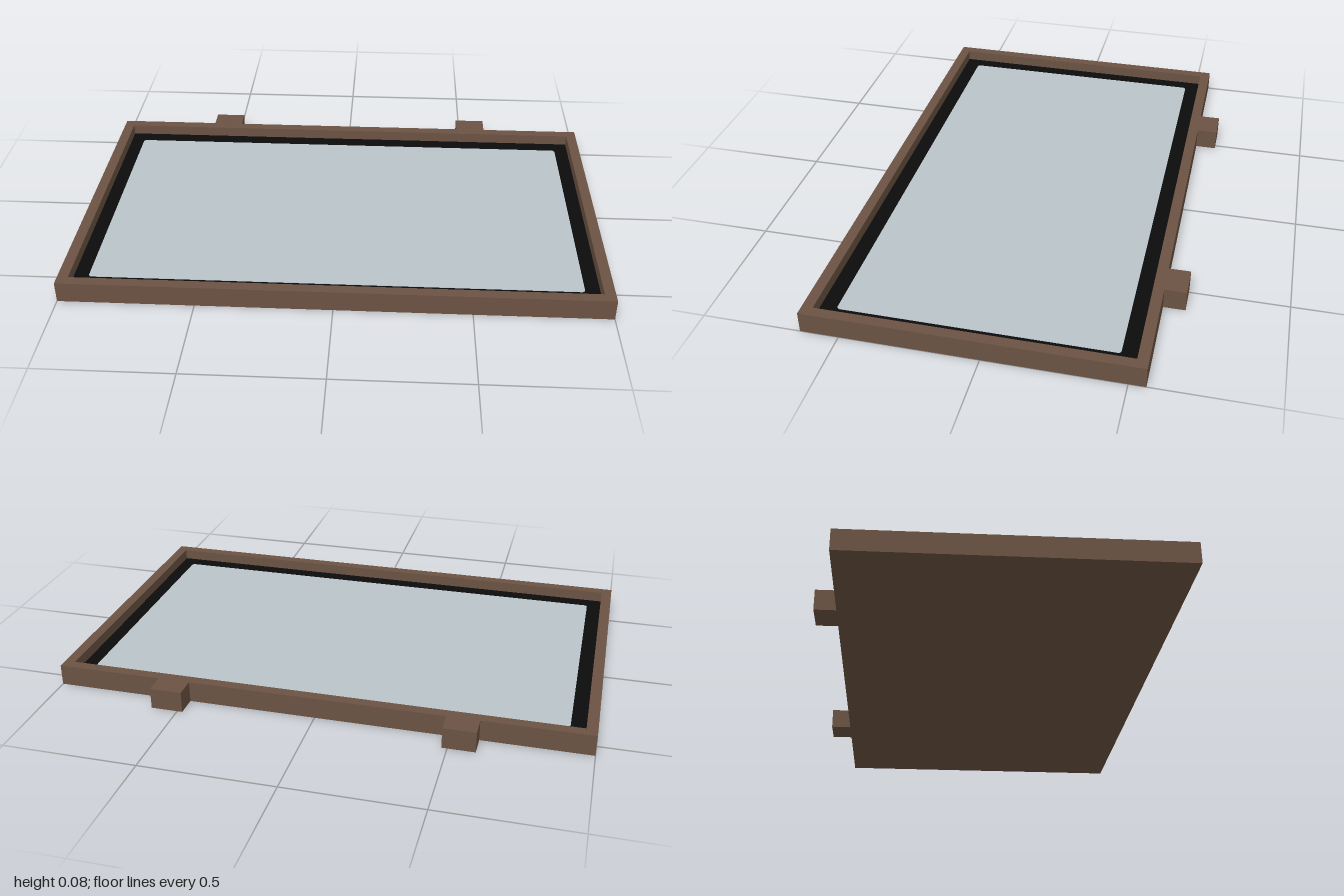
import * as THREE from 'three';

const wood = new THREE.MeshStandardMaterial({ color: 0x6b5343 });
wood.name = 'brown frame';
const black = new THREE.MeshStandardMaterial({ color: 0x0b0b0b });
black.name = 'black border';
const glass = new THREE.MeshStandardMaterial({ color: 0xb9c4c9 });
glass.name = 'pale grey panel';

// Rounded rectangle centred on the origin
function roundedRect(w, d, r) {
  const x = w / 2, y = d / 2, s = new THREE.Shape();
  s.absarc(x - r, y - r, r, 0, Math.PI / 2);
  s.absarc(-x + r, y - r, r, Math.PI / 2, Math.PI);
  s.absarc(-x + r, -y + r, r, Math.PI, Math.PI * 1.5);
  s.absarc(x - r, -y + r, r, Math.PI * 1.5, Math.PI * 2);
  return s;
}

function rect(w, d, Type) {
  const x = w / 2, y = d / 2;
  return new Type([[-x, -y], [x, -y], [x, y], [-x, y]].map(([a, b]) => new THREE.Vector2(a, b)));
}

// Lay a shape flat and extrude it upwards from y
function slab(name, shape, height, y, material) {
  const geo = new THREE.ExtrudeGeometry(shape, { depth: height, bevelEnabled: false, curveSegments: 4 });
  geo.rotateX(-Math.PI / 2);
  const mesh = new THREE.Mesh(geo, material);
  mesh.name = name;
  mesh.position.y = y;
  return mesh;
}

export function createModel() {
  const model = new THREE.Group();
  model.name = 'framedPanel';

  // Tray: raised rim, backing, black border and pale panel
  const tray = new THREE.Group();
  tray.name = 'tray';
  tray.position.z = 0.04;
  const rim = rect(2, 1.2, THREE.Shape);
  rim.holes.push(rect(1.92, 1.12, THREE.Path));
  tray.add(
    slab('rim', rim, 0.08, 0, wood),
    slab('backing', rect(1.92, 1.12, THREE.Shape), 0.034, 0, wood),
    slab('border', rect(1.92, 1.12, THREE.Shape), 0.005, 0.034, black),
    slab('panel', roundedRect(1.81, 1.0, 0.012), 0.002, 0.039, glass)
  );
  model.add(tray);

  // Two tabs on the back edge
  for (const side of [-1, 1]) {
    const tab = new THREE.Mesh(new THREE.BoxGeometry(0.12, 0.08, 0.08), wood);
    tab.name = side > 0 ? 'leftTab' : 'rightTab';
    tab.position.set(side * 0.54, 0.04, -0.6);
    model.add(tab);
  }
  return model;
}
